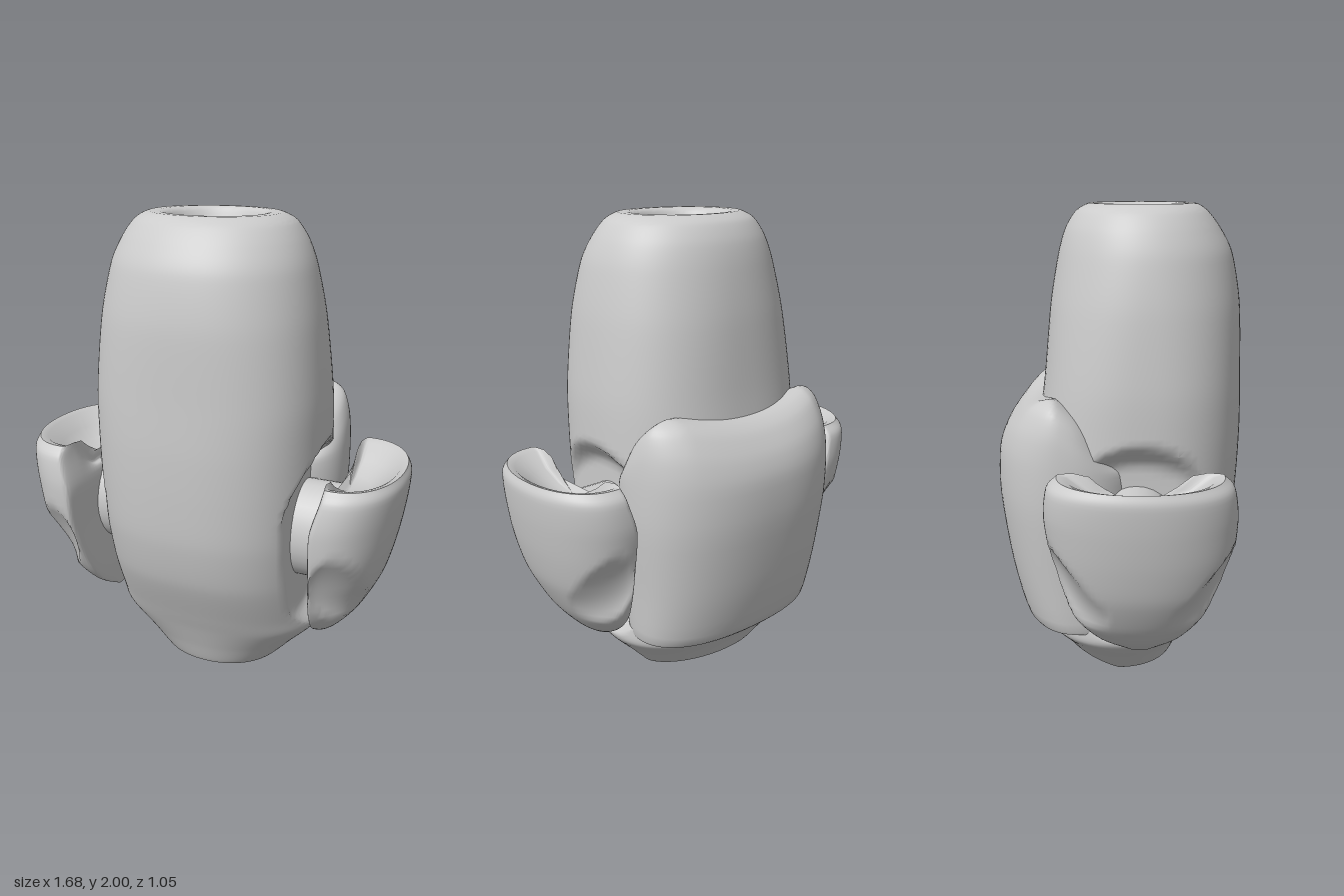
import * as THREE from 'three';
import { toCreasedNormals } from 'three/addons/utils/BufferGeometryUtils.js';

const N = 96;
const { smoothstep } = THREE.MathUtils;
const spow = (v, p) => Math.sign(v) * Math.pow(Math.abs(v), p);

// Smoothly interpolates rows of [y, halfWidth, zFront, zBack].
function smooth(rows, steps) {
  const curve = k => new THREE.CatmullRomCurve3(
    rows.map(r => new THREE.Vector3(r[0], r[1], r[k])), false, 'catmullrom', 0.4);
  const a = curve(2), b = curve(3), n = (rows.length - 1) * steps;
  return Array.from({ length: n + 1 }, (_, i) => {
    const p = a.getPoint(i / n), q = b.getPoint(i / n);
    return [p.x, p.y, p.z, q.z];
  });
}

// Joins equal-length closed rings, listed from bottom to top.
function loft(rings) {
  const pos = [], idx = [], m = rings[0].length;
  rings.forEach(r => r.forEach(p => pos.push(...p)));
  for (let j = 0; j < rings.length - 1; j++) {
    for (let i = 0; i < m; i++) {
      const a = j * m + i, c = j * m + (i + 1) % m;
      idx.push(a, a + m, c, c, a + m, c + m);
    }
  }
  const g = new THREE.BufferGeometry();
  g.setAttribute('position', new THREE.Float32BufferAttribute(pos, 3));
  g.setIndex(idx);
  return toCreasedNormals(g, 0.9);
}

// Superellipse ring; rule moves each point.
function oval([y, hx, zf, zb], e, rule) {
  return Array.from({ length: N }, (_, i) => {
    const t = i / N * Math.PI * 2;
    return rule([hx * spow(Math.cos(t), 2 / e), y,
      (zf + zb) / 2 + (zf - zb) / 2 * spow(Math.sin(t), 2 / e)]);
  });
}

function bodyGeometry() {
  const rows = smooth([
    [0.15, 0, 0.02, 0.02], [0.13, 0.16, 0.15, -0.13], [0.01, 0.25, 0.225, -0.225],
    [0, 0.28, 0.25, -0.25], [0.1, 0.375, 0.29, -0.3], [0.21, 0.475, 0.335, -0.345],
    [0.3, 0.48, 0.375, -0.36], [0.5, 0.48, 0.46, -0.37], [0.7, 0.49, 0.505, -0.37],
    [0.9, 0.495, 0.52, -0.36], [1.1, 0.495, 0.525, -0.34], [1.3, 0.49, 0.52, -0.315],
    [1.6, 0.46, 0.51, -0.285], [1.8, 0.42, 0.475, -0.25], [1.9, 0.38, 0.425, -0.22],
    [1.97, 0.33, 0.37, -0.175], [2, 0.27, 0.32, -0.12], [1.99, 0.2, 0.27, -0.09],
    [1.9, 0.14, 0.22, -0.04], [1.88, 0, 0.09, 0.09]], 7);
  return loft(rows.map(r => oval(r, 2.1 + 0.35 * smoothstep(r[0], 0, 0.5) * (1 - smoothstep(r[0], 1.2, 1.95)),
    ([x, y, z]) => {
      // round side recesses behind the pods
      const limit = 0.405 + 0.1 * smoothstep(Math.hypot(y - 0.65, z - 0.08), 0.33, 0.47);
      x = THREE.MathUtils.clamp(x, -limit, limit);
      // lower rim rises towards the back
      const tilt = Math.max(0, -z) * 0.32 * Math.max(0, 1 - y / 0.22);
      return [x, THREE.MathUtils.clamp(y + tilt, 0, 2), z];
    })));
}

function backpackGeometry() {
  const rows = smooth([
    [0.27, 0.44, 0.05, -0.36], [0.275, 0.465, 0.08, -0.42], [0.5, 0.48, 0.1, -0.48],
    [0.8, 0.505, 0.12, -0.52], [1, 0.505, 0.1, -0.515], [1.12, 0.495, 0.06, -0.48],
    [1.21, 0.47, 0, -0.42], [1.25, 0.42, -0.05, -0.36], [1.265, 0.3, -0.1, -0.28]], 4);
  rows.unshift([0.28, 0, -0.15, -0.15]);
  rows.push([1.25, 0, -0.18, -0.18]);
  // the upper edge dips between two shoulders and falls off forwards
  return loft(rows.map(r => oval(r, 2.3, ([x, y, z]) => {
    const top = smoothstep(y, 0.9, 1.25);
    const dip = 0.05 * Math.max(0, 1 - (x / 0.36) ** 2) + 0.8 * Math.max(0, z + 0.26);
    return [x, y - top * dip, z];
  })));
}

// D-shaped ring: curved outside, nearly flat inside.
function podRing([y, outer, zf, zb], side) {
  const inner = 0.5 + 0.02 * smoothstep(y, 0.3, 0.7) + 0.045 * smoothstep(y, 0.8, 1.02);
  const zc = (zf + zb) / 2, hz = (zf - zb) / 2, w = outer - inner;
  const ring = Array.from({ length: N }, (_, i) => {
    const t = i / N * Math.PI * 2, c = Math.cos(t), s = Math.sin(t);
    let x = inner + 0.15 * w + (c > 0 ? 0.85 * w * Math.pow(c, 0.9) : 0.15 * w * spow(c, 0.5));
    let z = zc + hz * spow(s, 0.95);
    // shallow dents towards the front and back edges
    const d = Math.hypot((x - 0.64) / 0.1, (y - 0.57) / 0.17);
    if (d < 1 && Math.abs(s) > 0.4) {
      x -= 0.035 * (1 - d * d);
      z -= Math.sign(s) * 0.035 * (1 - d * d);
    }
    // the middle of the inner wall drops down to the connector
    const open = (1 - smoothstep(x - inner, 0.02, 0.12)) * (1 - smoothstep(Math.abs(z - zc), 0.12, 0.26));
    return [side * x, y - 0.11 * smoothstep(y, 0.85, 1.01) * open, z];
  });
  return side < 0 ? ring.reverse() : ring;
}

function podGeometry(side) {
  const rows = smooth([
    [0.225, 0.52, 0.13, 0.04], [0.3, 0.61, 0.25, -0.09], [0.4, 0.69, 0.335, -0.18],
    [0.55, 0.765, 0.41, -0.24], [0.7, 0.805, 0.45, -0.275], [0.85, 0.83, 0.46, -0.295],
    [0.97, 0.84, 0.44, -0.28], [1.015, 0.825, 0.4, -0.24]], 5);
  const rings = rows.map(r => podRing(r, side));
  // hollow top sloping down to the connector
  const rim = rings[rings.length - 1];
  for (const [k, top] of [[0.88, 1.005], [0.65, 0.95], [0.35, 0.91], [0, 0.895]]) {
    rings.push(rim.map(([x, y, z]) => [
      side * 0.6 + (x - side * 0.6) * k, Math.min(top, y * k + 0.895 * (1 - k) + 0.02 * k), 0.08 + (z - 0.08) * k]));
  }
  rings.unshift(rings[0].map(() => [side * 0.505, 0.222, 0.085]));
  return loft(rings);
}

export function createModel() {
  const model = new THREE.Group();
  const material = new THREE.MeshStandardMaterial({ color: 0xcccccc });
  const add = (name, geometry) => {
    const mesh = new THREE.Mesh(geometry, material);
    mesh.name = name;
    model.add(mesh);
    return mesh;
  };
  add('body', bodyGeometry());
  add('backpack', backpackGeometry());
  for (const [side, label] of [[1, 'left'], [-1, 'right']]) {
    add(label + 'Pod', podGeometry(side));
    // oval stub joining pod and body
    const stub = add(label + 'Connector', new THREE.CylinderGeometry(0.2, 0.2, 0.18, 32));
    stub.rotation.z = Math.PI / 2;
    stub.scale.set(1.08, 1, 0.92);
    stub.position.set(side * 0.47, 0.685, 0.07);
  }
  return model;
}
